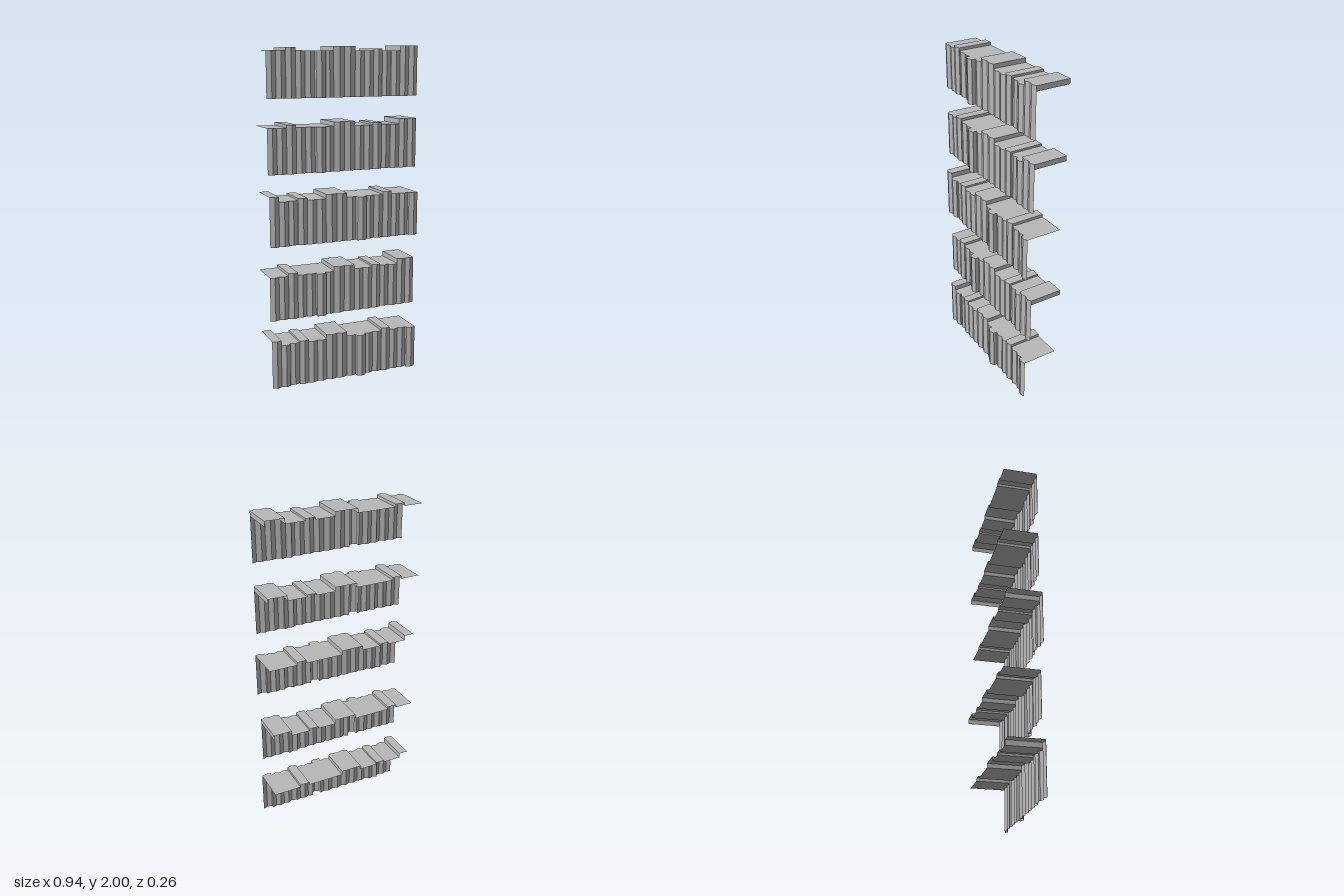
import * as THREE from 'three';

const WALL = 0.263; // height of a tier's pleated wall
const FOLD = 0.011; // how far each pleat's ridge stands out

// Pleats along one tier: [width, step height, front z]
const PLEATS = [
  [0.058, 0, 0.09],
  [0.0565, 0, 0.074], [0.0565, 0, 0.074],
  [0.058, 0.017, 0.079],
  [0.058, 0, 0.074], [0.058, 0, 0.074], [0.058, 0, 0.098], [0.058, 0, 0.074],
  [0.067, 0.025, 0.074], [0.067, 0.025, 0.074],
  [0.0585, 0, 0.074], [0.0585, 0, 0.074],
  [0.056, 0.012, 0.074],
  [0.058, 0, 0.064], [0.058, 0, 0.074],
  [0.057, 0.03, 0.074], [0.057, 0.03, 0.074],
];

// Adds a four-cornered face, corners counter-clockwise
function quad(list, a, b, c, d) {
  list.push(...a, ...b, ...c, ...a, ...c, ...d);
}

function sheet(name, positions, material) {
  const geometry = new THREE.BufferGeometry();
  geometry.setAttribute('position', new THREE.Float32BufferAttribute(positions, 3));
  geometry.computeVertexNormals();
  const mesh = new THREE.Mesh(geometry, material);
  mesh.name = name;
  return mesh;
}

function makeTier(pleats, back, shift, closeEnd, material) {
  const wall = [], shelf = [], risers = [];
  let x = -0.47;
  pleats.forEach(([width, step, front], i) => {
    const z = front + shift, top = WALL + step;
    const points = [[x, z], [x + width / 2, z + FOLD], [x + width, z]];

    // Two wall facets and the shelf strips behind them
    for (let k = 0; k < 2; k++) {
      const [xa, za] = points[k], [xb, zb] = points[k + 1];
      quad(wall, [xa, 0, za], [xb, 0, zb], [xb, top, zb], [xa, top, za]);
      quad(shelf, [xa, top, za], [xb, top, zb], [xb, top, back], [xa, top, back]);
    }
    x += width;

    const next = pleats[i + 1];
    if (next) {
      const zn = next[2] + shift, nextTop = WALL + next[1];
      // Side panel where the wall jumps in or out
      if (zn !== z) {
        const low = Math.min(top, nextTop);
        quad(wall, [x, 0, z], [x, 0, zn], [x, low, zn], [x, low, z]);
      }
      // Riser between shelf levels
      if (nextTop !== top) {
        const edge = top > nextTop ? z : zn;
        quad(risers, [x, top, edge], [x, top, back], [x, nextTop, back], [x, nextTop, edge]);
      }
    } else if (closeEnd) {
      quad(risers, [x, WALL, z], [x, WALL, back], [x, top, back], [x, top, z]);
    }
  });

  const tier = new THREE.Group();
  tier.add(
    sheet('pleatedWall', wall, material),
    sheet('steppedShelf', shelf, material),
    sheet('shelfRisers', risers, material),
  );
  return tier;
}

export function createModel() {
  const group = new THREE.Group();
  group.name = 'pleatedTiers';
  const grey = new THREE.MeshStandardMaterial({ color: 0xb8b8b8, side: THREE.DoubleSide });
  grey.name = 'grey';

  const plain = PLEATS.slice(1);
  const mirrored = PLEATS.slice(0, -1).reverse();

  // Tiers from bottom to top: [base height, mirrored or not]
  [[0, true], [0.415, false], [0.863, true], [1.28, false], [1.707, false]].forEach(([y, flip], i) => {
    const tier = flip
      ? makeTier(mirrored, -0.108, 0.019, false, grey)
      : makeTier(plain, -0.13, 0, true, grey);
    tier.name = `tier${i + 1}`;
    tier.position.y = y;
    group.add(tier);
  });
  return group;
}
